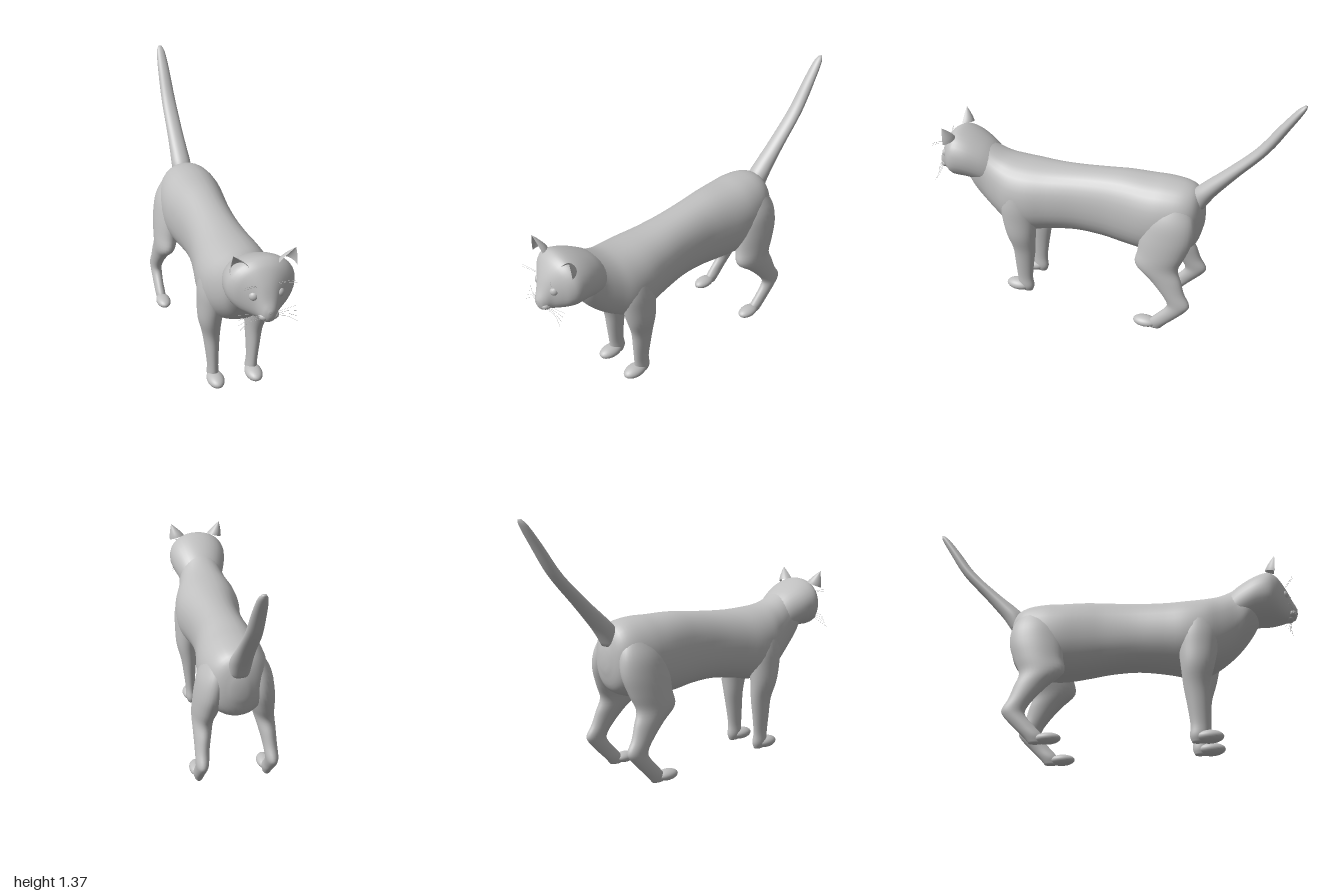
import * as THREE from 'three';

const fur = new THREE.MeshStandardMaterial({ color: 0xc0c0c0, side: THREE.DoubleSide });
fur.name = 'grey fur';

// Smooth skin over elliptical sections [cx, cy, cz, rx, r2], listed upwards along the axis ('y' or 'z').
function loft(sections, axis, power = 2, sides = 32, steps = 4) {
  const centres = new THREE.CatmullRomCurve3(sections.map(s => new THREE.Vector3(s[0], s[1], s[2])), false, 'catmullrom');
  const radii = new THREE.CatmullRomCurve3(sections.map(s => new THREE.Vector3(s[3], s[4], 0)), false, 'catmullrom');
  const rows = (sections.length - 1) * steps, pos = [], index = [];
  const bend = v => Math.sign(v) * Math.pow(Math.abs(v), 2 / power);
  for (let i = 0; i <= rows; i++) {
    const c = centres.getPoint(i / rows), r = radii.getPoint(i / rows);
    for (let j = 0; j < sides; j++) {
      const a = j / sides * Math.PI * 2, u = bend(Math.cos(a)), v = bend(Math.sin(a));
      if (axis === 'z') pos.push(c.x + r.x * u, c.y + r.y * v, c.z);
      else pos.push(c.x + r.x * v, c.y, c.z + r.y * u);
      if (i < rows) {
        const a0 = i * sides + j, b0 = i * sides + (j + 1) % sides;
        index.push(a0, b0, a0 + sides, b0, b0 + sides, a0 + sides);
      }
    }
  }
  // End caps
  const first = pos.length / 3;
  pos.push(...centres.getPoint(0).toArray(), ...centres.getPoint(1).toArray());
  for (let j = 0; j < sides; j++) {
    const k = (j + 1) % sides, top = rows * sides;
    index.push(first, k, j, first + 1, top + j, top + k);
  }
  return build(pos, index);
}

function build(pos, index) {
  const g = new THREE.BufferGeometry();
  g.setAttribute('position', new THREE.Float32BufferAttribute(pos, 3));
  g.setIndex(index);
  g.computeVertexNormals();
  return g;
}

// Cupped ear, open to the front
function earGeometry(s) {
  const rows = 8, cols = 12, pos = [], index = [];
  for (let i = 0; i <= rows; i++) {
    const t = i / rows, w = 1 - Math.pow(t, 1.25);
    for (let j = 0; j <= cols; j++) {
      const a = j / cols * Math.PI, side = Math.cos(a) * w, back = Math.sin(a) * w;
      pos.push(s * (0.115 + 0.032 * t + 0.043 * side), 0.915 + 0.083 * t - 0.012 * side + 0.012 * back,
        0.892 + 0.004 * t - 0.05 * back);
      if (i < rows && j < cols) {
        const p = i * (cols + 1) + j, q = p + cols + 1;
        if (s > 0) index.push(p, q, p + 1, p + 1, q, q + 1);
        else index.push(p, p + 1, q, p + 1, q + 1, q);
      }
    }
  }
  return build(pos, index);
}

export function createModel() {
  const group = new THREE.Group();
  const add = (name, geometry) => {
    const m = new THREE.Mesh(geometry, fur);
    m.name = name;
    group.add(m);
    return m;
  };
  const ball = (name, x, y, z, rx, ry, rz) => {
    const m = add(name, new THREE.SphereGeometry(1, 24, 16));
    m.position.set(x, y, z);
    m.scale.set(rx, ry, rz);
    return m;
  };
  const strand = (name, r, pts) => add(name, new THREE.TubeGeometry(
    new THREE.CatmullRomCurve3(pts.map(p => new THREE.Vector3(...p))), 8, r, 4));
  // Rows of [z, top, bottom, halfWidth]
  const alongZ = rows => rows.map(([z, t, b, w]) => [0, (t + b) / 2, z, w, (t - b) / 2]);

  // Torso from rump to neck
  add('body', loft(alongZ([
    [-0.54, 0.70, 0.60, 0.035], [-0.51, 0.80, 0.50, 0.11], [-0.45, 0.84, 0.455, 0.155],
    [-0.35, 0.852, 0.43, 0.175], [-0.25, 0.85, 0.42, 0.175], [-0.12, 0.85, 0.43, 0.158],
    [0, 0.84, 0.445, 0.146], [0.15, 0.825, 0.45, 0.147], [0.3, 0.815, 0.43, 0.165],
    [0.42, 0.815, 0.405, 0.184], [0.52, 0.82, 0.41, 0.18], [0.6, 0.835, 0.45, 0.153],
    [0.68, 0.87, 0.515, 0.13], [0.75, 0.91, 0.60, 0.125], [0.81, 0.92, 0.70, 0.1],
  ]), 'z', 2.2));

  // Head with the face tapering to the muzzle
  add('head', loft(alongZ([
    [0.64, 0.84, 0.62, 0.11], [0.7, 0.885, 0.65, 0.135], [0.78, 0.927, 0.672, 0.16],
    [0.85, 0.948, 0.672, 0.165], [0.89, 0.935, 0.672, 0.143], [0.92, 0.905, 0.673, 0.105],
    [0.95, 0.855, 0.676, 0.064], [0.975, 0.795, 0.68, 0.042], [0.99, 0.765, 0.69, 0.028],
    [0.999, 0.745, 0.715, 0.01],
  ]), 'z', 2.15));
  ball('nose', 0, 0.738, 0.986, 0.018, 0.012, 0.014);
  ball('chin', 0, 0.69, 0.955, 0.032, 0.018, 0.025);

  // Raised tail
  add('tail', loft([
    [0, 0.72, -0.5, 0.05, 0.04], [0, 0.8, -0.53, 0.055, 0.062], [0, 0.87, -0.59, 0.05, 0.058],
    [0, 0.95, -0.668, 0.045, 0.047], [0, 1.1, -0.808, 0.04, 0.036], [0, 1.25, -0.908, 0.033, 0.029],
    [0, 1.34, -0.968, 0.024, 0.021], [0, 1.372, -0.99, 0.01, 0.009],
  ], 'y'));

  for (const s of [1, -1]) {
    const side = s > 0 ? 'left' : 'right';
    // Rows of [y, x, z, rx, rz]
    const alongY = rows => rows.map(([y, x, z, rx, rz]) => [s * x, y, z, rx, rz]);

    add(side + 'FrontLeg', loft(alongY([
      [0.006, 0.105, 0.455, 0.02, 0.03], [0.04, 0.106, 0.46, 0.03, 0.046], [0.1, 0.108, 0.465, 0.028, 0.046],
      [0.2, 0.112, 0.462, 0.035, 0.055], [0.3, 0.116, 0.458, 0.045, 0.066], [0.4, 0.125, 0.468, 0.06, 0.085],
      [0.5, 0.12, 0.475, 0.07, 0.1], [0.6, 0.112, 0.48, 0.077, 0.105], [0.7, 0.1, 0.48, 0.066, 0.085],
      [0.77, 0.075, 0.47, 0.03, 0.04],
    ]), 'y'));
    ball(side + 'FrontPaw', s * 0.105, 0.033, 0.51, 0.045, 0.033, 0.072);

    add(side + 'HindLeg', loft(alongY([
      [0.014, 0.186, -0.345, 0.02, 0.035], [0.05, 0.186, -0.36, 0.028, 0.05], [0.1, 0.187, -0.405, 0.028, 0.054],
      [0.16, 0.185, -0.458, 0.031, 0.056], [0.2, 0.183, -0.467, 0.034, 0.063], [0.26, 0.178, -0.43, 0.038, 0.068],
      [0.33, 0.17, -0.385, 0.046, 0.09], [0.4, 0.16, -0.335, 0.056, 0.118], [0.48, 0.145, -0.355, 0.068, 0.13],
      [0.58, 0.128, -0.375, 0.076, 0.143], [0.68, 0.11, -0.385, 0.073, 0.128], [0.78, 0.08, -0.39, 0.05, 0.08],
    ]), 'y'));
    ball(side + 'HindPaw', s * 0.186, 0.037, -0.287, 0.041, 0.029, 0.067);

    add(side + 'Ear', earGeometry(s));
    ball(side + 'Eye', s * 0.063, 0.803, 0.937, 0.022, 0.022, 0.018).rotation.y = s * 0.5;
    ball(side + 'WhiskerPad', s * 0.022, 0.71, 0.968, 0.026, 0.02, 0.024);

    // Whiskers and brow hairs
    for (let i = 0; i < 4; i++) {
      const y = 0.725 - i * 0.008;
      strand(side + 'Whisker', 0.0007, [[s * 0.035, y, 0.975], [s * 0.09, y + 0.003 - i * 0.006, 0.965],
        [s * 0.14, y - 0.008 - i * 0.012, 0.94 + i * 0.012]]);
    }
    for (let i = 0; i < 2; i++) {
      strand(side + 'BrowHair', 0.0007, [[s * 0.05, 0.853 + i * 0.006, 0.945],
        [s * 0.085, 0.865 + i * 0.008, 0.965], [s * 0.125, 0.868 + i * 0.012, 0.98]]);
    }
  }
  return group;
}
